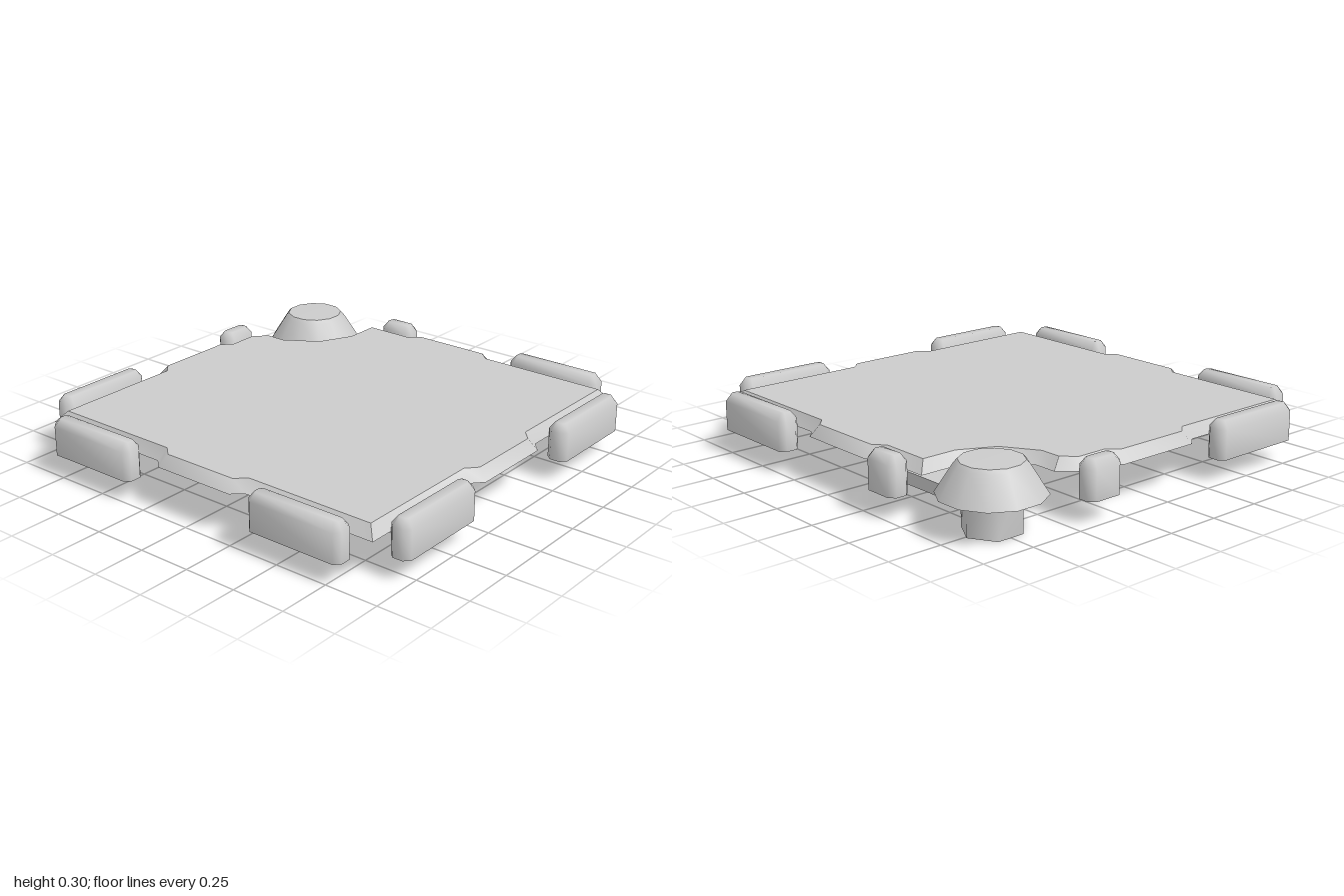
import * as THREE from 'three';
import { toCreasedNormals } from 'three/addons/utils/BufferGeometryUtils.js';

const material = new THREE.MeshStandardMaterial({ color: 0xcccccc, side: THREE.DoubleSide });

// Moves every edge of an [x, z] outline inwards by d
function inset(points, d) {
  const n = points.length;
  const normal = (a, b) => {
    const l = Math.hypot(b[0] - a[0], b[1] - a[1]);
    return [(a[1] - b[1]) / l, (b[0] - a[0]) / l];
  };
  return points.map((p, i) => {
    const u = normal(points[(i + n - 1) % n], p);
    const v = normal(p, points[(i + 1) % n]);
    const k = d / (1 + u[0] * v[0] + u[1] * v[1]);
    return [p[0] + (u[0] + v[0]) * k, p[1] + (u[1] + v[1]) * k];
  });
}

// Shell through stacked outlines, closed on top and open below
function shell(layers, crease) {
  const n = layers[0].outline.length;
  const position = layers.flatMap(({ outline, y }) => outline.flatMap(([x, z]) => [x, y, z]));
  const index = [];
  for (let k = 0; k < layers.length - 1; k++) {
    for (let i = 0; i < n; i++) {
      const a = k * n + i, b = k * n + (i + 1) % n;
      index.push(a, a + n, b + n, a, b + n, b);
    }
  }
  const top = layers[layers.length - 1].outline;
  const base = (layers.length - 1) * n;
  const contour = top.map(([x, z]) => new THREE.Vector2(x, z));
  for (const [a, b, c] of THREE.ShapeUtils.triangulateShape(contour, [])) {
    const area = THREE.ShapeUtils.area([contour[a], contour[b], contour[c]]);
    index.push(base + a, ...(area > 0 ? [base + c, base + b] : [base + b, base + c]));
  }
  const g = new THREE.BufferGeometry();
  g.setAttribute('position', new THREE.Float32BufferAttribute(position, 3));
  g.setIndex(index);
  return toCreasedNormals(g, crease);
}

export function createModel() {
  const group = new THREE.Group();
  const add = (name, geometry) => {
    const mesh = new THREE.Mesh(geometry, material);
    mesh.name = name;
    group.add(mesh);
    return mesh;
  };

  // Bevelled plate with a tab on each side and a notch at the back left corner
  const outline = [
    [-0.9, -0.9], [-0.25, -0.9], [-0.2, -0.945], [0.2, -0.945], [0.25, -0.9], [0.39, -0.9],
    [0.475, -0.82], [0.475, -0.715], [0.56, -0.58], [0.7, -0.51], [0.9, -0.51],
    [0.9, -0.25], [0.945, -0.2], [0.945, 0.2], [0.9, 0.25], [0.9, 0.9],
    [0.25, 0.9], [0.2, 0.945], [-0.2, 0.945], [-0.25, 0.9], [-0.9, 0.9],
    [-0.9, 0.25], [-0.945, 0.2], [-0.945, -0.2], [-0.9, -0.25],
  ];
  add('plate', shell([{ outline, y: 0.195 }, { outline: inset(outline, 0.043), y: 0.245 }], 0.6));

  // Bumpers around the edge: name, x range, z range
  const bumpers = [
    ['frontLeftBumper', 0.335, 0.81, 0.9, 1], ['frontRightBumper', -0.81, -0.335, 0.9, 1],
    ['backRightBumper', -0.81, -0.335, -1, -0.9], ['backLeftBumper', 0.26, 0.44, -1, -0.9],
    ['leftFrontBumper', 0.9, 1, 0.335, 0.81], ['leftBackBumper', 0.9, 1, -0.445, -0.265],
    ['rightFrontBumper', -1, -0.9, 0.335, 0.81], ['rightBackBumper', -1, -0.9, -0.81, -0.335],
  ];
  for (const [name, x0, x1, z0, z1] of bumpers) {
    const c = 0.026;
    const plan = [
      [x0, z0 + c], [x0 + c, z0], [x1 - c, z0], [x1, z0 + c],
      [x1, z1 - c], [x1 - c, z1], [x0 + c, z1], [x0, z1 - c],
    ];
    add(name, shell([
      { outline: plan, y: 0.1 }, { outline: plan, y: 0.235 }, { outline: inset(plan, 0.026), y: 0.27 },
    ], 1));
  }

  // Bracket under the plate that carries the foot
  const arm = [[0.61, -0.68], [0.84, -0.68], [0.84, -0.18], [0.61, -0.18]];
  add('bracket', shell([{ outline: arm, y: 0.1 }, { outline: arm, y: 0.155 }], 0.5));

  // Six-sided foot, open below
  const foot = add('foot', toCreasedNormals(
    new THREE.CylinderGeometry(0.13, 0.13, 0.27, 6, 1, true, Math.PI / 2), 1.1));
  foot.position.set(0.75, 0.135, -0.76);

  // Twelve-sided hollow cap over the foot
  const profile = [[0.228, 0.155], [0.15, 0.278], [0.135, 0.295], [0, 0.297]];
  const cap = add('cap', toCreasedNormals(new THREE.LatheGeometry(
    profile.map(([r, y]) => new THREE.Vector2(r, y)), 12, Math.PI / 12), 0.45));
  cap.position.set(0.75, 0, -0.76);

  return group;
}
